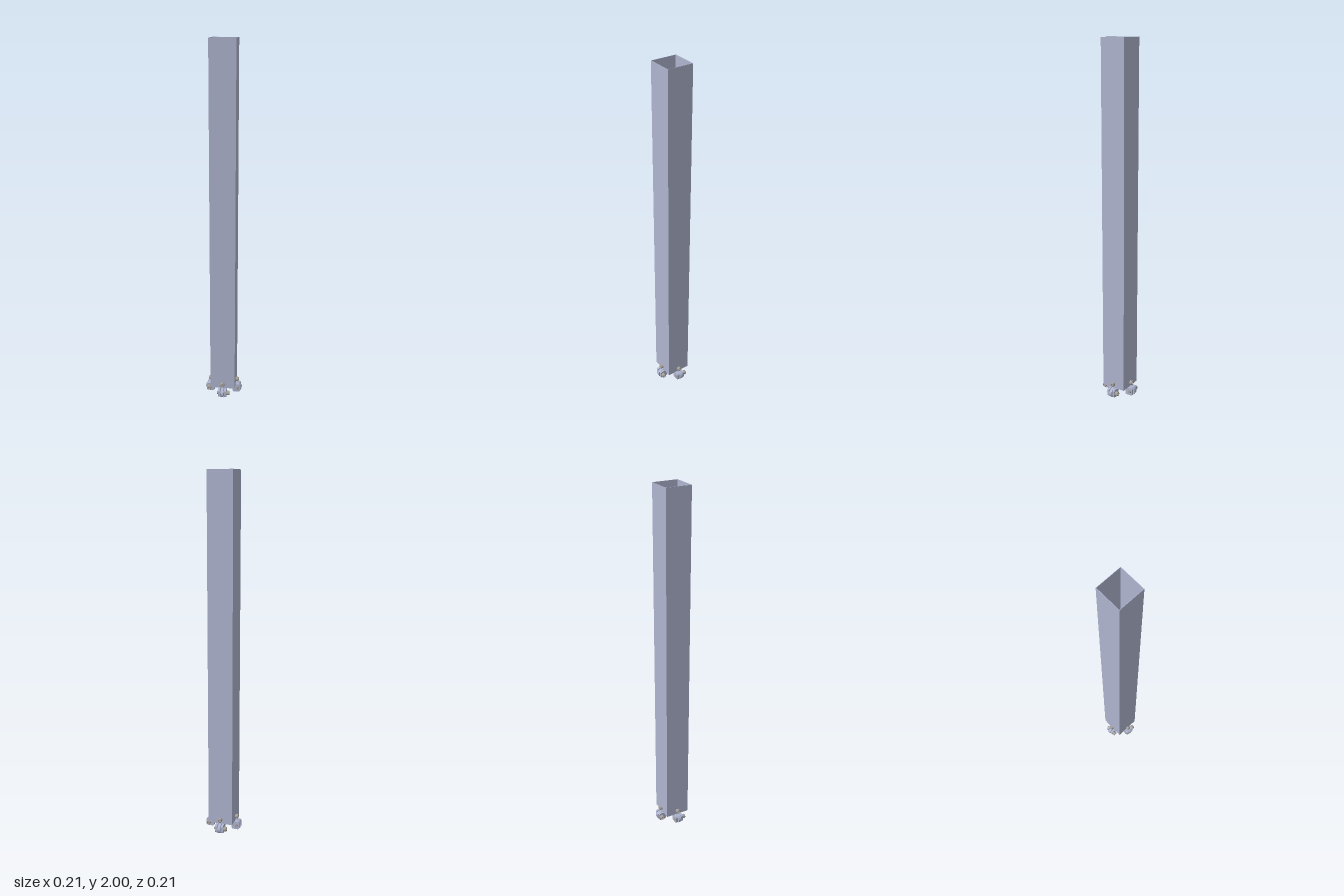
import * as THREE from 'three';
import { toCreasedNormals } from 'three/addons/utils/BufferGeometryUtils.js';

const paint = new THREE.MeshStandardMaterial({ color: 0xafb5d0 });
paint.name = 'lavender grey paint';
const steel = new THREE.MeshStandardMaterial({ color: 0xa5a199 });
steel.name = 'bolt steel';

function add(parent, name, geometry, material, x = 0, y = 0, z = 0) {
  const mesh = new THREE.Mesh(geometry, material);
  mesh.name = name;
  mesh.position.set(x, y, z);
  parent.add(mesh);
  return mesh;
}

// Square outline with half width h and corner radius r
function square(path, h, r) {
  if (!r) {
    return path.moveTo(-h, -h).lineTo(h, -h).lineTo(h, h).lineTo(-h, h).closePath();
  }
  const k = h - r;
  path.moveTo(-k, -h);
  path.absarc(k, -k, r, -Math.PI / 2, 0);
  path.absarc(k, k, r, 0, Math.PI / 2);
  path.absarc(-k, k, r, Math.PI / 2, Math.PI);
  path.absarc(-k, -k, r, Math.PI, Math.PI * 1.5);
  return path;
}

// Hollow square section standing upright
function section(outer, outerR, inner, innerR, height) {
  const shape = square(new THREE.Shape(), outer, outerR);
  shape.holes.push(square(new THREE.Path(), inner, innerR));
  const geo = new THREE.ExtrudeGeometry(shape, { depth: height, bevelEnabled: false, curveSegments: 8 });
  geo.rotateX(-Math.PI / 2);
  return toCreasedNormals(geo, 0.6);
}

// Bolt along +y: shank from 0 to shank, then a socket head
function bolt(shankR, shank, headR, head) {
  const top = shank + head;
  const points = [
    [0, 0], [shankR, 0], [shankR, shank], [headR, shank],
    [headR, top - 0.002], [headR - 0.002, top], [headR * 0.5, top],
    [headR * 0.5, top - head * 0.5], [0, top - head * 0.5],
  ].map(([x, y]) => new THREE.Vector2(x, y));
  return toCreasedNormals(new THREE.LatheGeometry(points, 20), 0.6);
}

// Round-nosed tongue, extruded across x
function tongueGeometry() {
  const shape = new THREE.Shape();
  shape.moveTo(0.05, 0.052);
  shape.lineTo(0.05, 0.02);
  shape.absarc(0.08, 0.025, 0.025, -Math.PI / 2, Math.PI / 2);
  shape.lineTo(0.068, 0.052);
  const geo = new THREE.ExtrudeGeometry(shape, { depth: 0.016, bevelEnabled: false });
  geo.translate(0, 0, -0.008);
  geo.rotateY(-Math.PI / 2);
  return toCreasedNormals(geo, 0.6);
}

// Cheek plate with chamfered outer corners, extruded across x
function cheekGeometry() {
  const shape = new THREE.Shape();
  [[0.052, 0.052], [0.052, 0.012], [0.059, 0.005], [0.092, 0.005],
    [0.098, 0.011], [0.098, 0.044], [0.092, 0.05], [0.068, 0.052],
  ].forEach(([z, y], i) => (i ? shape.lineTo(z, y) : shape.moveTo(z, y)));
  const geo = new THREE.ExtrudeGeometry(shape, { depth: 0.013, bevelEnabled: false });
  geo.translate(0, 0, -0.0065);
  geo.rotateY(-Math.PI / 2);
  return geo;
}

export function createModel() {
  const model = new THREE.Group();
  model.name = 'squarePost';

  // Long thin-walled tube and the thicker collar inside its foot
  add(model, 'tube', section(0.07, 0, 0.068, 0, 1.948), paint, 0, 0.052, 0);
  add(model, 'collar', section(0.068, 0.02, 0.05, 0.012, 0.05), paint, 0, 0.05, 0);

  const tongue = tongueGeometry();
  const cheek = cheekGeometry();
  const wallBolt = bolt(0.007, 0.026, 0.012, 0.017);
  const pinBolt = bolt(0.007, 0.055, 0.0125, 0.018);
  const nut = new THREE.CylinderGeometry(0.009, 0.009, 0.006, 20);

  // One hinge clamp per side
  for (let i = 0; i < 4; i++) {
    const clamp = new THREE.Group();
    clamp.name = 'hingeClamp' + (i + 1);
    clamp.rotation.y = i * Math.PI / 2;
    model.add(clamp);

    add(clamp, 'tongue', tongue, paint);
    for (const s of [-1, 1]) add(clamp, 'cheek', cheek, paint, s * 0.0175, 0, 0);

    // Bolt through the tube wall
    add(clamp, 'wallBolt', wallBolt, steel, 0, 0.075, 0.044).rotation.x = Math.PI / 2;
    // Hinge pin with its nut
    add(clamp, 'hingePin', pinBolt, steel, -0.031, 0.028, 0.083).rotation.z = -Math.PI / 2;
    add(clamp, 'hingeNut', nut, steel, -0.026, 0.028, 0.083).rotation.z = Math.PI / 2;
  }
  return model;
}
